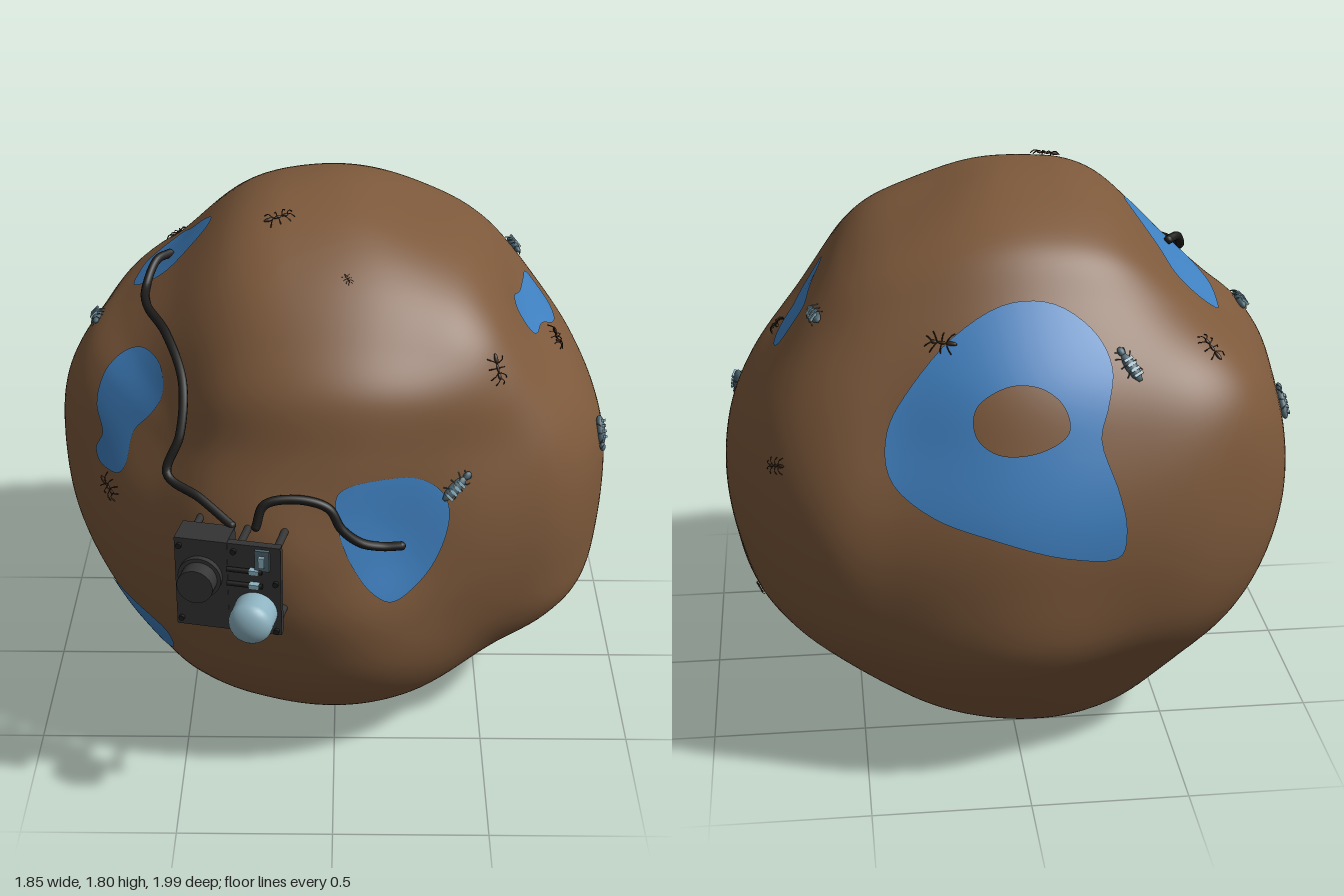
import * as THREE from 'three';
import { mergeVertices, mergeGeometries } from 'three/addons/utils/BufferGeometryUtils.js';

const mat = (name, color) => Object.assign(new THREE.MeshStandardMaterial({ color }), { name });
const V = (x, y, z) => new THREE.Vector3(x, y, z);
const CENTRE = V(0, 0.85, 0);

// Outlines of the boulder in three planes
const FRONT = [[-0.12, 1.80], [0.02, 1.79], [0.2, 1.73], [0.42, 1.65], [0.52, 1.57], [0.62, 1.44], [0.75, 1.26], [0.83, 1.14],
  [0.9, 0.99], [0.925, 0.85], [0.92, 0.65], [0.88, 0.46], [0.79, 0.37], [0.62, 0.27], [0.45, 0.15], [0.3, 0.07], [0, 0.02],
  [-0.25, 0.005], [-0.4, 0.02], [-0.55, 0.12], [-0.66, 0.26], [-0.76, 0.41], [-0.85, 0.62], [-0.93, 0.95], [-0.91, 1.15],
  [-0.82, 1.3], [-0.7, 1.4], [-0.55, 1.53], [-0.33, 1.74], [-0.22, 1.79]];
const SIDE = [[-0.1, 1.80], [0.1, 1.79], [0.25, 1.74], [0.4, 1.65], [0.55, 1.51], [0.66, 1.38], [0.71, 1.2], [0.76, 1.0],
  [0.8, 0.85], [0.81, 0.7], [0.78, 0.55], [0.73, 0.4], [0.65, 0.27], [0.55, 0.17], [0.35, 0.08], [0.1, 0.02], [-0.15, 0.005],
  [-0.4, 0.015], [-0.55, 0.04], [-0.7, 0.15], [-0.85, 0.31], [-0.96, 0.47], [-0.99, 0.6], [-0.96, 0.92], [-0.9, 1.15],
  [-0.83, 1.32], [-0.66, 1.55], [-0.55, 1.68], [-0.4, 1.75], [-0.25, 1.785]];
const TOP = [[0.93, -0.1], [0.92, -0.3], [0.87, -0.5], [0.76, -0.7], [0.6, -0.85], [0.4, -0.92], [0.2, -0.97], [0, -1],
  [-0.2, -0.98], [-0.45, -0.93], [-0.6, -0.86], [-0.76, -0.73], [-0.87, -0.55], [-0.92, -0.35], [-0.93, -0.15], [-0.92, 0.05],
  [-0.88, 0.2], [-0.8, 0.33], [-0.7, 0.47], [-0.6, 0.57], [-0.4, 0.72], [-0.15, 0.8], [0, 0.78], [0.2, 0.72], [0.4, 0.65],
  [0.57, 0.57], [0.72, 0.48], [0.82, 0.35], [0.9, 0.1]];

// Local swellings and dents: position, amount, tightness
const LUMPS = [[-0.62, 1.2, 0.45, -0.085, 20], [0.2, 0.92, 0.74, -0.035, 30], [0.63, 1.35, 0.08, -0.03, 40],
  [0.5, 1.4, 0.46, 0.03, 40], [0.6, 1.44, -0.41, 0.035, 30], [0.42, 1.15, -0.8, -0.045, 25], [-0.58, 1.25, -0.66, 0.045, 30],
  [-0.22, 0, -0.2, 0.022, 30], [-0.25, 0.1, -0.5, 0.025, 30], [-0.25, 0.42, -0.68, -0.03, 40]]
  .map(([x, y, z, amount, k]) => ({ dir: V(x, y, z).sub(CENTRE).normalize(), amount, k }));

const closedCurve = (pts, n) =>
  new THREE.CatmullRomCurve3(pts.map(([a, b]) => V(a, b, 0)), true, 'centripetal').getPoints(n);

// Turns an outline into radius as a function of angle
function polar(pts, cy) {
  const list = closedCurve(pts, 600).map(p => [Math.atan2(p.y - cy, p.x), Math.hypot(p.x, p.y - cy)]).sort((a, b) => a[0] - b[0]);
  const first = list[0], last = list[list.length - 1];
  list.unshift([last[0] - 2 * Math.PI, last[1]]);
  list.push([first[0] + 2 * Math.PI, first[1]]);
  return (a, b) => {
    const t = Math.atan2(b, a);
    let lo = 0, hi = list.length - 1;
    while (hi - lo > 1) {
      const m = (lo + hi) >> 1;
      if (list[m][0] <= t) lo = m; else hi = m;
    }
    const [t0, r0] = list[lo], [t1, r1] = list[hi];
    return r0 + (r1 - r0) * (t - t0) / Math.max(t1 - t0, 1e-9);
  };
}
const rFront = polar(FRONT, CENTRE.y), rSide = polar(SIDE, CENTRE.y), rTop = polar(TOP, 0);

// Boulder radius in a unit direction: blend of the three outlines plus lumps
function radius(d) {
  const w = n => (1 - n * n) ** 2 / (n * n + 0.03);
  const a = w(d.z), b = w(d.x), c = w(d.y);
  const r = (a * rFront(d.x, d.y) + b * rSide(d.z, d.y) + c * rTop(d.x, d.z)) / (a + b + c);
  return LUMPS.reduce((s, l) => s + l.amount * Math.exp(l.k * (d.dot(l.dir) - 1)), r);
}
function height(p) {
  const d = p.clone().sub(CENTRE), l = d.length();
  return l - radius(d.divideScalar(l));
}
function normalAt(p) {
  const e = 0.015, g = (x, y, z) => height(V(p.x + x, p.y + y, p.z + z)) - height(V(p.x - x, p.y - y, p.z - z));
  return V(g(e, 0, 0), g(0, e, 0), g(0, 0, e)).normalize();
}

// Projects plane coordinates onto the boulder along a direction (degrees)
function projector(azimuth, elevation, u0 = 0, v0 = 0) {
  const a = azimuth * Math.PI / 180, e = elevation * Math.PI / 180;
  const h = V(Math.sin(a), 0, Math.cos(a)), right = V(Math.cos(a), 0, -Math.sin(a));
  const up = h.clone().multiplyScalar(-Math.sin(e)).add(V(0, Math.cos(e), 0));
  const out = h.clone().multiplyScalar(Math.cos(e)).add(V(0, Math.sin(e), 0));
  return (u, v) => {
    const base = V(0, 0.9, 0).addScaledVector(right, u - u0).addScaledVector(up, v - v0);
    const at = t => base.clone().addScaledVector(out, t);
    let t = 1.3;
    while (t > 0 && height(at(t)) > 0) t -= 0.03;
    let lo = t, hi = t + 0.03;
    for (let i = 0; i < 14; i++) {
      const m = (lo + hi) / 2;
      if (height(at(m)) > 0) hi = m; else lo = m;
    }
    const d = at(lo).sub(CENTRE).normalize();
    return CENTRE.clone().addScaledVector(d, radius(d));
  };
}
const front = projector(0, 0, 0, 0.9), rightSide = projector(90, 0, 0, 0.9), top = projector(0, 90), bottom = projector(0, -90);
const backLeft = projector(215, 25), backLow = projector(145, -25, 0.03, 0.072);

// Thin skin over the boulder, filled in rings from its middle
function patch(name, material, project, outline, lift = 0.004) {
  const N = 72, R = 14, pts = closedCurve(outline, N).slice(0, N);
  if (THREE.ShapeUtils.area(pts) < 0) pts.reverse();
  const mid = pts.reduce((s, p) => s.add(p), V(0, 0, 0)).divideScalar(N);
  const pos = [], nor = [], idx = [];
  for (let r = 0; r <= R; r++) for (let i = 0; i < N; i++) {
    const q = mid.clone().lerp(pts[i], r / R), p = project(q.x, q.y), n = normalAt(p);
    p.addScaledVector(n, lift);
    pos.push(p.x, p.y, p.z);
    nor.push(n.x, n.y, n.z);
    if (r === R) continue;
    const a = r * N + i, b = r * N + (i + 1) % N;
    idx.push(a, a + N, b + N, a, b + N, b);
  }
  const g = new THREE.BufferGeometry();
  g.setAttribute('position', new THREE.Float32BufferAttribute(pos, 3));
  g.setAttribute('normal', new THREE.Float32BufferAttribute(nor, 3));
  g.setIndex(idx);
  return Object.assign(new THREE.Mesh(g, material), { name });
}

export function createModel() {
  const model = new THREE.Group();
  const brown = mat('brown clay', 0x7d593b), blue = mat('blue', 0x3f80c0), dark = mat('dark grey', 0x343434);
  const black = mat('black cable', 0x1c1b1a), pale = mat('pale blue', 0x8db2c0), ant = mat('ant brown', 0x3a2516);
  const slate = mat('slate', 0x4f6670);
  const add = (parent, name, geo, material, x = 0, y = 0, z = 0) => {
    const m = new THREE.Mesh(geo, material);
    m.name = name;
    m.position.set(x, y, z);
    parent.add(m);
  };

  // Boulder
  let body = new THREE.SphereGeometry(1, 200, 140);
  body.deleteAttribute('uv');
  body.deleteAttribute('normal');
  body = mergeVertices(body);
  const p = body.attributes.position, d = V(0, 0, 0);
  for (let i = 0; i < p.count; i++) {
    d.fromBufferAttribute(p, i).normalize();
    d.multiplyScalar(radius(d)).add(CENTRE);
    p.setXYZ(i, d.x, d.y, d.z);
  }
  body.computeVertexNormals();
  add(model, 'boulder', body, brown);

  // Blue patches
  model.add(
    patch('frontPatch', blue, front, [[0.01, 1.09], [0.04, 1.115], [0.13, 1.13], [0.26, 1.115], [0.34, 1.05], [0.36, 0.975],
      [0.33, 0.85], [0.27, 0.76], [0.185, 0.71], [0.12, 0.755], [0.045, 0.885], [0.012, 1.0]]),
    patch('upperRightPatch', blue, front, [[-0.60, 1.37], [-0.55, 1.35], [-0.54, 1.27], [-0.58, 1.2], [-0.64, 1.13], [-0.67, 1.02],
      [-0.70, 0.985], [-0.76, 0.99], [-0.775, 1.03], [-0.75, 1.09], [-0.77, 1.17], [-0.74, 1.27], [-0.67, 1.34]]),
    patch('lowerRightPatch', blue, front, [[-0.75, 0.51], [-0.62, 0.485], [-0.55, 0.43], [-0.54, 0.34], [-0.58, 0.32], [-0.65, 0.36], [-0.71, 0.44]]),
    patch('leftPatch', blue, rightSide, [[-0.128, 1.44], [-0.08, 1.465], [0.02, 1.44], [0.15, 1.43], [0.255, 1.41], [0.27, 1.36],
      [0.265, 1.295], [0.2, 1.27], [0.11, 1.285], [0.02, 1.325], [-0.08, 1.335], [-0.125, 1.36]]),
    patch('topPatch', blue, top, [[-0.66, 0.36], [-0.60, 0.385], [-0.53, 0.355], [-0.49, 0.25], [-0.43, 0.14], [-0.405, 0.06],
      [-0.425, 0.0], [-0.49, -0.03], [-0.56, -0.03], [-0.64, 0.04], [-0.68, 0.13], [-0.68, 0.27]]),
    patch('backPatch', blue, backLeft, [[-0.57, 0.315], [-0.415, 0.365], [-0.30, 0.325], [-0.23, 0.21], [-0.23, 0.10], [-0.285, -0.01],
      [-0.33, -0.095], [-0.32, -0.265], [-0.315, -0.375], [-0.335, -0.45], [-0.485, -0.405], [-0.65, -0.29], [-0.76, -0.18],
      [-0.815, -0.04], [-0.785, 0.10], [-0.71, 0.2]]),
    patch('backPatchIsland', brown, backLeft, [[-0.595, 0.10], [-0.51, 0.13], [-0.44, 0.10], [-0.40, 0.03], [-0.41, -0.05],
      [-0.495, -0.08], [-0.585, -0.055], [-0.62, 0.015]], 0.008),
    patch('lowerPatch', blue, backLow, [[-0.47, -0.29], [-0.39, -0.27], [-0.25, -0.31], [-0.135, -0.39], [-0.02, -0.47], [0.09, -0.535],
      [0.13, -0.63], [0.10, -0.715], [-0.02, -0.74], [-0.16, -0.685], [-0.275, -0.575], [-0.36, -0.52], [-0.47, -0.46], [-0.485, -0.37]]
      .map(([u, v]) => [u, v + 0.0])),
    patch('lowerPatchLobe', blue, bottom, [[0.42, 0.32], [0.28, 0.35], [0.1, 0.31], [0.07, 0.2], [0.13, 0.08], [0.23, 0.05], [0.29, 0.13], [0.37, 0.23]], 0.0045));

  // Device standing off the front on posts
  const device = new THREE.Group();
  device.name = 'device';
  device.position.set(-0.3, 0.855, 0.785);
  device.rotation.y = -0.2;
  model.add(device);
  const rod = (r, len, seg = 20) => new THREE.CylinderGeometry(r, r, len, seg).rotateX(Math.PI / 2);
  add(device, 'case', new THREE.BoxGeometry(0.165, 0.31, 0.1), dark, -0.083, 0, 0.04);
  add(device, 'board', new THREE.BoxGeometry(0.165, 0.31, 0.025), dark, 0.0825, 0, 0.0775);
  add(device, 'dialBase', rod(0.068, 0.02, 32), dark, -0.085, 0.03, 0.098);
  add(device, 'dial', rod(0.056, 0.06, 32), dark, -0.085, 0.03, 0.13);
  add(device, 'lamp', rod(0.068, 0.07, 32), pale, 0.085, -0.078, 0.12);
  add(device, 'lampDome', new THREE.SphereGeometry(0.068, 32, 16).scale(1, 1, 0.65), pale, 0.085, -0.078, 0.155);
  for (const [x, y] of [[-0.13, 0.13], [-0.13, -0.13], [0.03, 0.13], [0.03, -0.13], [0.145, 0.13], [0.145, -0.13]])
    add(device, 'post', rod(0.012, 0.17), dark, x, y, -0.01);
  for (const y of [0.07, 0.02]) {
    add(device, 'pin', new THREE.CylinderGeometry(0.008, 0.008, 0.11, 12).rotateZ(Math.PI / 2), black, 0.055, y, 0.1);
    add(device, 'pinTip', new THREE.BoxGeometry(0.03, 0.016, 0.02), pale, 0.085, y, 0.1);
  }
  add(device, 'switchPlate', new THREE.BoxGeometry(0.045, 0.07, 0.012), slate, 0.11, 0.11, 0.095);
  add(device, 'switch', new THREE.BoxGeometry(0.018, 0.035, 0.02), pale, 0.11, 0.11, 0.103);
  for (const [x, y] of [[0.02, 0.13], [0.15, 0.03], [0.15, -0.14], [0.02, -0.14], [-0.15, 0.13], [-0.15, -0.13]])
    add(device, 'screw', rod(0.009, 0.012, 12), black, x, y, 0.095);

  // Cables, kept just clear of the boulder
  const cable = (name, pts) => {
    const path = pts.map(q => {
      const v = V(...q), h = height(v);
      return h < 0.012 ? v.add(v.clone().sub(CENTRE).normalize().multiplyScalar(0.012 - h)) : v;
    });
    add(model, name, new THREE.TubeGeometry(new THREE.CatmullRomCurve3(path), 90, 0.0145, 10), black);
    for (const e of [path[0], path[path.length - 1]]) add(model, 'cableEnd', new THREE.SphereGeometry(0.0145, 10, 8), black, e.x, e.y, e.z);
  };
  cable('upperCable', [[-0.55, 1.54, -0.09], [-0.59, 1.54, -0.04], [-0.62, 1.48, 0.05], [-0.6, 1.46, 0.16], [-0.53, 1.44, 0.32],
    [-0.47, 1.35, 0.48], [-0.475, 1.22, 0.58], [-0.515, 1.11, 0.63], [-0.41, 1.065, 0.7], [-0.31, 1.01, 0.77]]);
  cable('frontCable', [[-0.235, 1.01, 0.78], [-0.21, 1.075, 0.76], [-0.115, 1.09, 0.75], [-0.015, 1.06, 0.75], [0.025, 0.99, 0.75],
    [0.085, 0.935, 0.74], [0.15, 0.915, 0.735], [0.21, 0.915, 0.73]]);

  // Small crawling insects: thin ants and longer striped beetles
  const leg = (x, z, reach, bend) => new THREE.TubeGeometry(new THREE.CatmullRomCurve3(
    [V(0, 0.008, z), V(x * reach * 0.6, 0.014, z + bend * 0.5), V(x * reach, 0.002, z + bend)]), 5, 0.0018, 4);
  const legs = reach => mergeGeometries([-1, 1].flatMap(s => [-0.014, 0, 0.014].map(z => leg(s, z, reach, z * 1.4)))
    .concat([-1, 1].map(s => leg(s, 0.03, 0.016, 0.022))));
  const segments = list => mergeGeometries(list.map(([z, w, l]) =>
    new THREE.SphereGeometry(1, 10, 8).scale(w, w * 0.8, l).translate(0, 0.008, z)));
  const antLegs = legs(0.032), antBody = segments([[-0.03, 0.007, 0.017], [0, 0.005, 0.014], [0.026, 0.006, 0.01]]);
  const beetleLegs = legs(0.028), beetleBody = segments([[-0.012, 0.019, 0.052], [0.044, 0.012, 0.016]]);
  const stripes = mergeGeometries([-0.042, -0.024, -0.006, 0.012].map(z => new THREE.BoxGeometry(0.03, 0.008, 0.009).translate(0, 0.021, z)));
  const insect = (name, q, turn, scale = 1) => {
    const g = new THREE.Group(), isAnt = name === 'ant', n = normalAt(q);
    g.name = name;
    add(g, 'insectBody', isAnt ? antBody : beetleBody, isAnt ? ant : slate);
    add(g, 'insectLegs', isAnt ? antLegs : beetleLegs, isAnt ? ant : slate);
    if (!isAnt) add(g, 'insectStripes', stripes, pale);
    g.position.copy(q);
    g.quaternion.setFromUnitVectors(V(0, 1, 0), n).multiply(new THREE.Quaternion().setFromAxisAngle(V(0, 1, 0), turn));
    g.scale.setScalar(scale);
    model.add(g);
  };
  [[front(0.5, 1.4), 0.6], [top(-0.18, -0.17), 1.9], [rightSide(0.03, 1.27), 0.2], [top(-0.58, 0.66), 0.7], [top(0.24, 0.7), 1.2],
    [rightSide(0.66, 1.05), 0.9, 0.8], [front(-0.73, 0.93), 0.3], [rightSide(0.4, 0.5), 2, 0.5], [top(0.04, -0.39), 0.5, 0.4]]
    .forEach(([q, t, s]) => insect('ant', q, t, s));
  [[front(0.38, 1.07), 2.6], [rightSide(-0.15, 1.0), 0.9], [rightSide(0.41, 1.44), 0.2], [top(-0.31, 0.76), 0.6], [top(-0.8, 0.07), 0.1],
    [backLeft(0.46, -0.18), 0.8]].forEach(([q, t]) => insect('beetle', q, t));
  return model;
}
